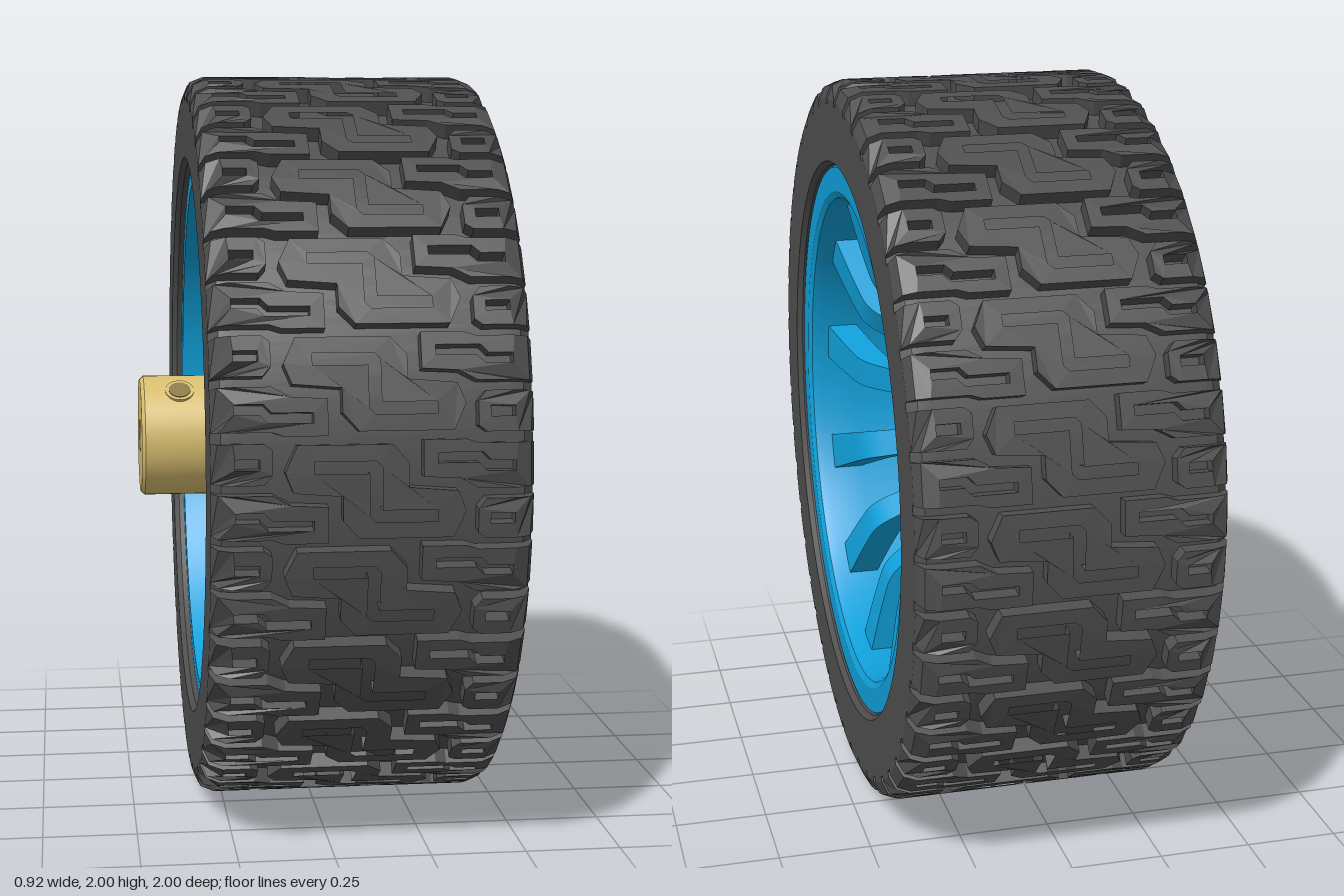
import * as THREE from 'three';
import { mergeGeometries, toCreasedNormals } from 'three/addons/utils/BufferGeometryUtils.js';

const rubber = new THREE.MeshStandardMaterial({ color: 0x4f4f4f, name: 'rubber' });
const blue = new THREE.MeshStandardMaterial({ color: 0x10a0da, name: 'blue plastic' });
const brass = new THREE.MeshStandardMaterial({ color: 0xd8be70, name: 'brass' });
const darkBrass = new THREE.MeshStandardMaterial({ color: 0x8a7843, name: 'dark brass' });

const deg = Math.PI / 180;
const MID = 0.065; // centre plane of the tyre along the axle
const PERIODS = 24; // tread repeats around the tyre

function add(parent, name, geometry, material) {
  const mesh = new THREE.Mesh(geometry, material);
  mesh.name = name;
  parent.add(mesh);
  return mesh;
}

// Closed (radius, x) outline turned about the x axis
function turned(points, segments = 96) {
  const outline = [...points, points[0]].map(([r, x]) => new THREE.Vector2(r, x));
  const g = new THREE.LatheGeometry(outline, segments);
  g.rotateZ(-Math.PI / 2);
  return toCreasedNormals(g, 0.5);
}

// Flat shape facing +x, extruded between two x positions
function plate(shape, x0, x1) {
  const g = new THREE.ExtrudeGeometry(shape, { depth: x1 - x0, bevelEnabled: false, curveSegments: 16 });
  g.rotateY(Math.PI / 2);
  g.translate(x0, 0, 0);
  return toCreasedNormals(g, 0.5);
}

const polygon = (pts) => new THREE.Shape(pts.map(([a, b]) => new THREE.Vector2(a, b)));
const turnHalf = (pts) => pts.map(([a, b]) => [-a, -b]);

// Tread block: flat outline (across, along) wrapped on to the tyre, with a rounded shoulder
function treadBlock(outline, groove) {
  const shape = polygon(outline);
  shape.holes.push(polygon(groove));
  const g = new THREE.ExtrudeGeometry(shape, { depth: 1, bevelEnabled: false });
  const p = g.attributes.position;
  for (let i = 0; i < p.count; i++) {
    const s = p.getX(i), angle = p.getY(i);
    const over = Math.min(1, Math.max(0, (Math.abs(s) - 0.345) / 0.05));
    const top = 0.95 + 0.05 * Math.sqrt(1 - over * over);
    const r = p.getZ(i) > 0.5 ? top : 0.93;
    p.setXYZ(i, MID + s, r * Math.cos(angle), -r * Math.sin(angle));
  }
  g.computeVertexNormals();
  return g;
}

function makeTyre() {
  const tyre = new THREE.Group();
  tyre.name = 'tyre';
  const h = 0.395;
  add(tyre, 'tyreBody', turned([
    [0.78, MID - h], [0.935, MID - h], [0.957, MID - 0.37], [0.96, MID - 0.34],
    [0.96, MID + 0.34], [0.957, MID + 0.37], [0.935, MID + h], [0.78, MID + h],
    [0.768, MID + h - 0.015], [0.768, MID - h + 0.015],
  ], 120), rubber);

  // Stepped centre block with a stepped groove
  const halfStep = [[-0.2, 0], [-0.22, 0.05], [-0.19, 0.115], [0.04, 0.115], [0.08, 0.07], [0.08, 0.01]];
  const halfGroove = [[-0.15, 0.045], [-0.15, 0.075], [0, 0.075], [0.015, 0.06], [0.015, -0.045]];
  // Hooked and short shoulder blocks
  const hook = [[0.115, 0.035], [0.205, 0.03], [0.25, 0.005], [0.345, 0.005], [0.38, 0.005], [0.395, 0.005],
    [0.395, 0.115], [0.38, 0.115], [0.345, 0.115], [0.25, 0.115], [0.22, 0.125], [0.115, 0.125]];
  const hookGroove = [[0.15, 0.068], [0.25, 0.068], [0.27, 0.047], [0.34, 0.047],
    [0.34, 0.072], [0.28, 0.072], [0.26, 0.093], [0.15, 0.093]];
  const lug = [[0.25, -0.105], [0.27, -0.12], [0.345, -0.12], [0.38, -0.12], [0.395, -0.12],
    [0.395, -0.02], [0.38, -0.02], [0.345, -0.02], [0.27, -0.02], [0.25, -0.045]];
  const lugGroove = [[0.28, -0.083], [0.34, -0.083], [0.34, -0.057], [0.28, -0.057]];

  const section = mergeGeometries([
    treadBlock([...halfStep, ...turnHalf(halfStep)], [...halfGroove, ...turnHalf(halfGroove)]),
    treadBlock(hook, hookGroove),
    treadBlock(lug, lugGroove),
    treadBlock(turnHalf(hook), turnHalf(hookGroove)),
    treadBlock(turnHalf(lug), turnHalf(lugGroove)),
  ]);
  for (let i = 0; i < PERIODS; i++) {
    add(tyre, 'treadSection', section, rubber).rotation.x = (i / PERIODS) * Math.PI * 2;
  }
  return tyre;
}

// Spoke pointing along +y: dished side profile, wider toward the rim
function spokeGeometry() {
  const front = new THREE.SplineCurve([[0.19, 0.12], [0.27, 0.14], [0.35, 0.235], [0.42, 0.315], [0.5, 0.345], [0.69, 0.385]]
    .map(([r, x]) => new THREE.Vector2(r, x))).getPoints(20);
  const back = front.map((v) => new THREE.Vector2(v.x, v.y - 0.085)).reverse();
  const g = new THREE.ExtrudeGeometry(new THREE.Shape([...front, ...back]), { depth: 1, bevelEnabled: false });
  const p = g.attributes.position;
  for (let i = 0; i < p.count; i++) {
    const r = p.getX(i), x = p.getY(i);
    const width = 0.06 + 0.095 * (r - 0.2);
    p.setXYZ(i, x, r, (0.5 - p.getZ(i)) * width);
  }
  return toCreasedNormals(g, 0.5);
}

function makeRim() {
  const rim = new THREE.Group();
  rim.name = 'rim';
  add(rim, 'rimBarrel', turned([
    [0.72, -0.3], [0.765, -0.3], [0.775, -0.29], [0.775, 0.42], [0.762, 0.44], [0.695, 0.44],
    [0.678, 0.43], [0.67, 0.405], [0.67, 0.3], [0.675, 0], [0.69, -0.18], [0.712, -0.26],
  ]), blue);
  const spoke = spokeGeometry();
  for (let k = 0; k < 12; k++) {
    add(rim, 'spoke', spoke, blue).rotation.x = (-69 + 30 * k) * deg;
  }

  // Hub: round back plate, scalloped front plate, small pins in the scallops
  add(rim, 'hubBack', turned([[0.064, 0], [0.22, 0], [0.235, 0.015], [0.235, 0.1], [0.064, 0.1]], 64), blue);
  const R = 0.235, n = 0.07, d = 2 * Math.asin(n / 2 / R);
  const scalloped = new THREE.Shape();
  for (let k = 0; k < 6; k++) {
    const a = (96 + 60 * k) * deg;
    scalloped.absarc(R * Math.cos(a), R * Math.sin(a), n, a - Math.PI / 2 - d / 2, a - 1.5 * Math.PI + d / 2, true);
    scalloped.absarc(0, 0, R, a + d, a + 60 * deg - d, false);
    const pin = new THREE.CylinderGeometry(0.02, 0.02, 0.04, 16);
    pin.rotateZ(-Math.PI / 2);
    add(rim, 'hubPin', pin, blue).position.set(0.11, 0.2 * Math.sin(a), -0.2 * Math.cos(a));
  }
  scalloped.holes.push(new THREE.Path().absarc(0, 0, 0.064, 0, Math.PI * 2, true));
  add(rim, 'hubFront', plate(scalloped, 0.1, 0.132), blue);
  return rim;
}

function makeCoupling() {
  const coupling = new THREE.Group();
  coupling.name = 'axleCoupling';
  add(coupling, 'couplingBarrel', turned([
    [0.045, -0.463], [0.158, -0.463], [0.168, -0.453], [0.168, -0.04],
    [0.066, -0.04], [0.066, 0.14], [0.045, 0.14],
  ], 64), brass);
  // Hexagonal flange against the hub
  const hex = polygon(Array.from({ length: 6 }, (_, i) => [0.215 * Math.cos(i * 60 * deg), 0.215 * Math.sin(i * 60 * deg)]));
  hex.holes.push(new THREE.Path().absarc(0, 0, 0.06, 0, Math.PI * 2, true));
  add(coupling, 'hexFlange', plate(hex, -0.065, 0.02), brass);
  // Opposite grub screws: brass collar with a dark socket
  for (const side of [0, Math.PI]) {
    const screw = new THREE.Group();
    screw.name = 'grubScrew';
    add(screw, 'screwFace', new THREE.CylinderGeometry(0.04, 0.04, 0.008, 24), brass).position.y = 0.166;
    add(screw, 'screwSocket', new THREE.CylinderGeometry(0.03, 0.03, 0.008, 24), darkBrass).position.y = 0.168;
    screw.position.x = -0.355;
    screw.rotation.x = 35 * deg + side;
    coupling.add(screw);
  }
  return coupling;
}

export function createModel() {
  const wheel = new THREE.Group();
  wheel.name = 'wheel';
  wheel.add(makeTyre(), makeRim(), makeCoupling());
  wheel.position.y = 1;
  const model = new THREE.Group();
  model.name = 'wheelAssembly';
  model.add(wheel);
  return model;
}
